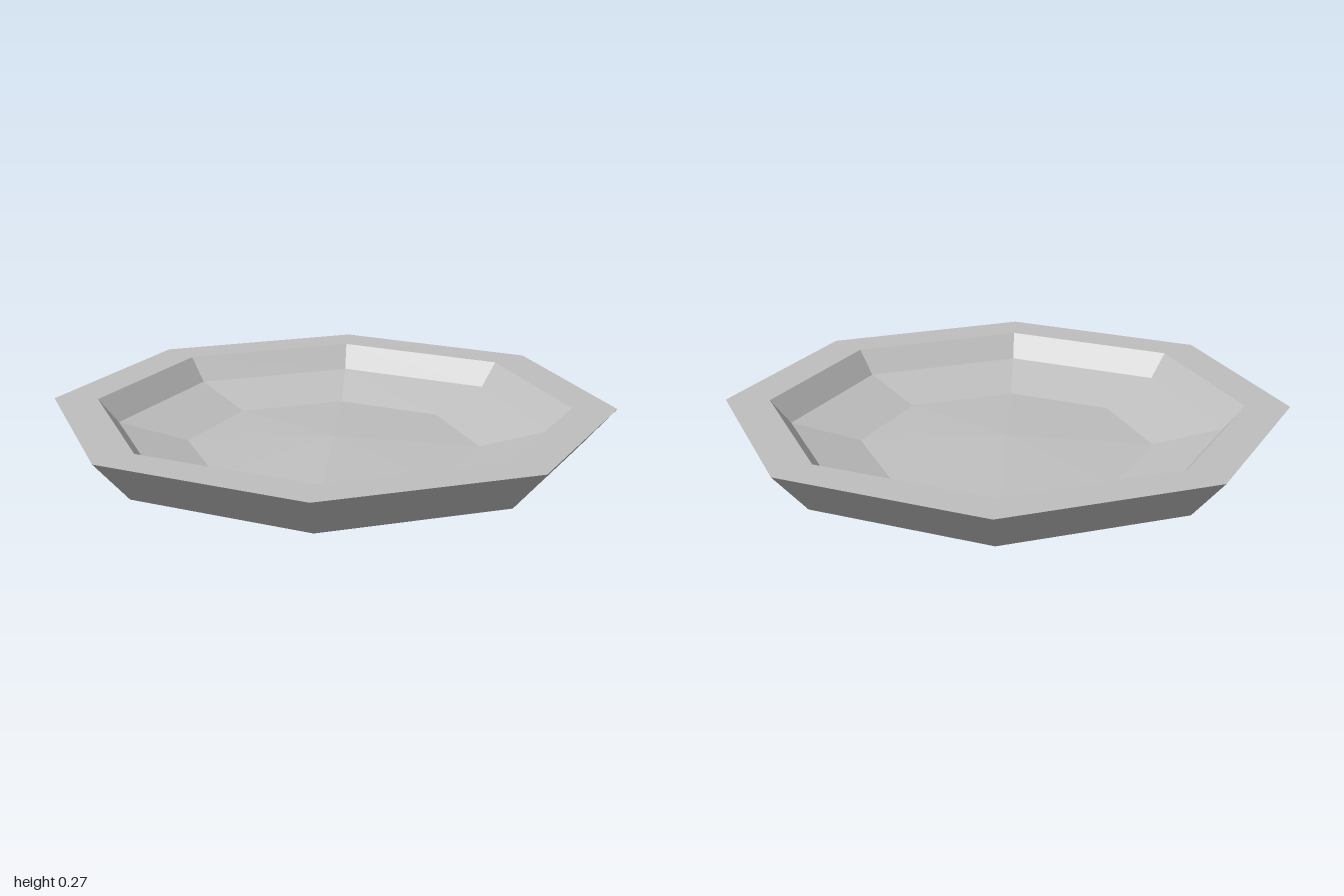
import * as THREE from 'three';

const SIDES = 8;

// Spin a radius/height profile into a faceted octagonal band
function band(name, profile, material) {
  const points = profile.map(([r, y]) => new THREE.Vector2(r, y));
  const geometry = new THREE.LatheGeometry(points, SIDES).toNonIndexed();
  geometry.computeVertexNormals();
  const mesh = new THREE.Mesh(geometry, material);
  mesh.name = name;
  return mesh;
}

export function createModel() {
  const group = new THREE.Group();
  group.name = 'plate';
  const ceramic = new THREE.MeshStandardMaterial({ color: 0xbfbfbf, flatShading: true });
  ceramic.name = 'light grey ceramic';

  // Flat foot and sloping underside, listed from the centre outwards
  group.add(band('underside', [[0, 0], [0.48, 0], [0.865, 0.12], [1, 0.27]], ceramic));
  // Wide flat rim
  group.add(band('rim', [[1, 0.27], [0.842, 0.27]], ceramic));
  // Steep inner lip, shallow slope and slightly raised centre
  group.add(band('innerLip', [[0.842, 0.27], [0.77, 0.185]], ceramic));
  group.add(band('dish', [[0.77, 0.185], [0.522, 0.122], [0, 0.15]], ceramic));
  return group;
}
